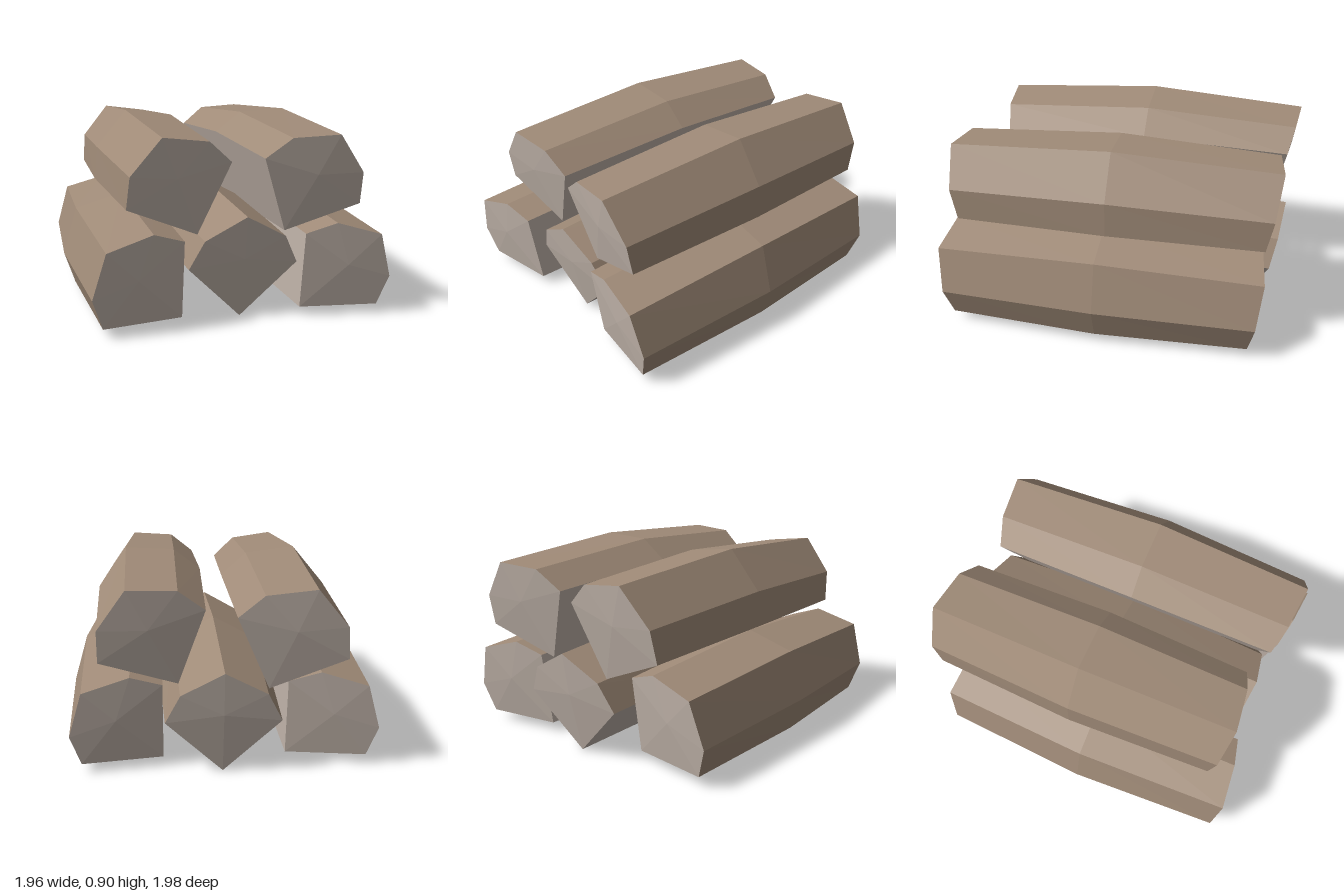
import * as THREE from 'three';

// Wedge section of a split log: [angle from the bisector in degrees, radius], heart at the origin
const SECTION = [[0, 0], [45, 0.36], [26, 0.43], [0, 0.49], [-26, 0.43], [-45, 0.36]]
  .map(([deg, r]) => {
    const a = THREE.MathUtils.degToRad(deg);
    return [r * Math.sin(a), r * Math.cos(a)];
  });
const END_SLOPE = 0.22; // ends lean outward toward the bark
const BULGE = 1.1;      // logs are thicker halfway along

const barkMaterial = new THREE.MeshStandardMaterial({ color: 0xa08b78, flatShading: true });
const woodMaterial = new THREE.MeshStandardMaterial({ color: 0xc4b7ad, flatShading: true });

function meshFrom(triangles, material, name) {
  const geometry = new THREE.BufferGeometry().setFromPoints(triangles);
  geometry.computeVertexNormals();
  const mesh = new THREE.Mesh(geometry, material);
  mesh.name = name;
  return mesh;
}

function createLog(name, halfLength) {
  // Three rings from back to front
  const rings = [-1, 0, 1].map((end) => SECTION.map(([x, y]) => {
    const scale = end === 0 ? BULGE : 1;
    return new THREE.Vector3(x * scale, y * scale, end * (halfLength + END_SLOPE * y));
  }));
  const bark = [];
  const wood = [];
  const n = SECTION.length;

  // Long sides: the two touching the heart are split wood, the rest are bark
  for (let k = 0; k < 2; k++) {
    for (let i = 0; i < n; i++) {
      const j = (i + 1) % n;
      const a = rings[k][i], b = rings[k][j], c = rings[k + 1][j], d = rings[k + 1][i];
      (i === 0 || j === 0 ? wood : bark).push(a, b, c, a, c, d);
    }
  }

  // Sawn ends, very slightly domed
  for (const end of [-1, 1]) {
    const ring = rings[end + 1];
    const center = new THREE.Vector3(0, 0.29, end * (halfLength + END_SLOPE * 0.29 + 0.01));
    for (let i = 0; i < n; i++) {
      const a = ring[i], b = ring[(i + 1) % n];
      wood.push(center, ...(end > 0 ? [a, b] : [b, a]));
    }
  }

  const log = new THREE.Group();
  log.name = name;
  log.add(meshFrom(bark, barkMaterial, 'bark'), meshFrom(wood, woodMaterial, 'splitWood'));
  return log;
}

export function createModel() {
  const pile = new THREE.Group();
  pile.name = 'logPile';

  // name, heart position x y z, tilt in degrees, half length at the heart
  const logs = [
    ['lowerRightLog', -0.29, 0.05, 0, 45, 0.64],
    ['lowerMiddleLog', 0, 0.005, -0.075, 0, 0.645],
    ['lowerLeftLog', 0.262, 0.05, 0, -45, 0.655],
    ['upperRightLog', -0.196, 0.4, -0.1, 21.6, 0.655],
    ['upperLeftLog', 0.193, 0.41, -0.035, -26, 0.66],
  ];
  for (const [name, x, y, z, tilt, half] of logs) {
    const log = createLog(name, half);
    log.position.set(x, y, z);
    log.rotation.z = THREE.MathUtils.degToRad(tilt);
    pile.add(log);
  }

  // The whole pile lies diagonally
  pile.rotation.y = THREE.MathUtils.degToRad(-35);
  const model = new THREE.Group();
  model.name = 'firewood';
  model.add(pile);
  return model;
}
